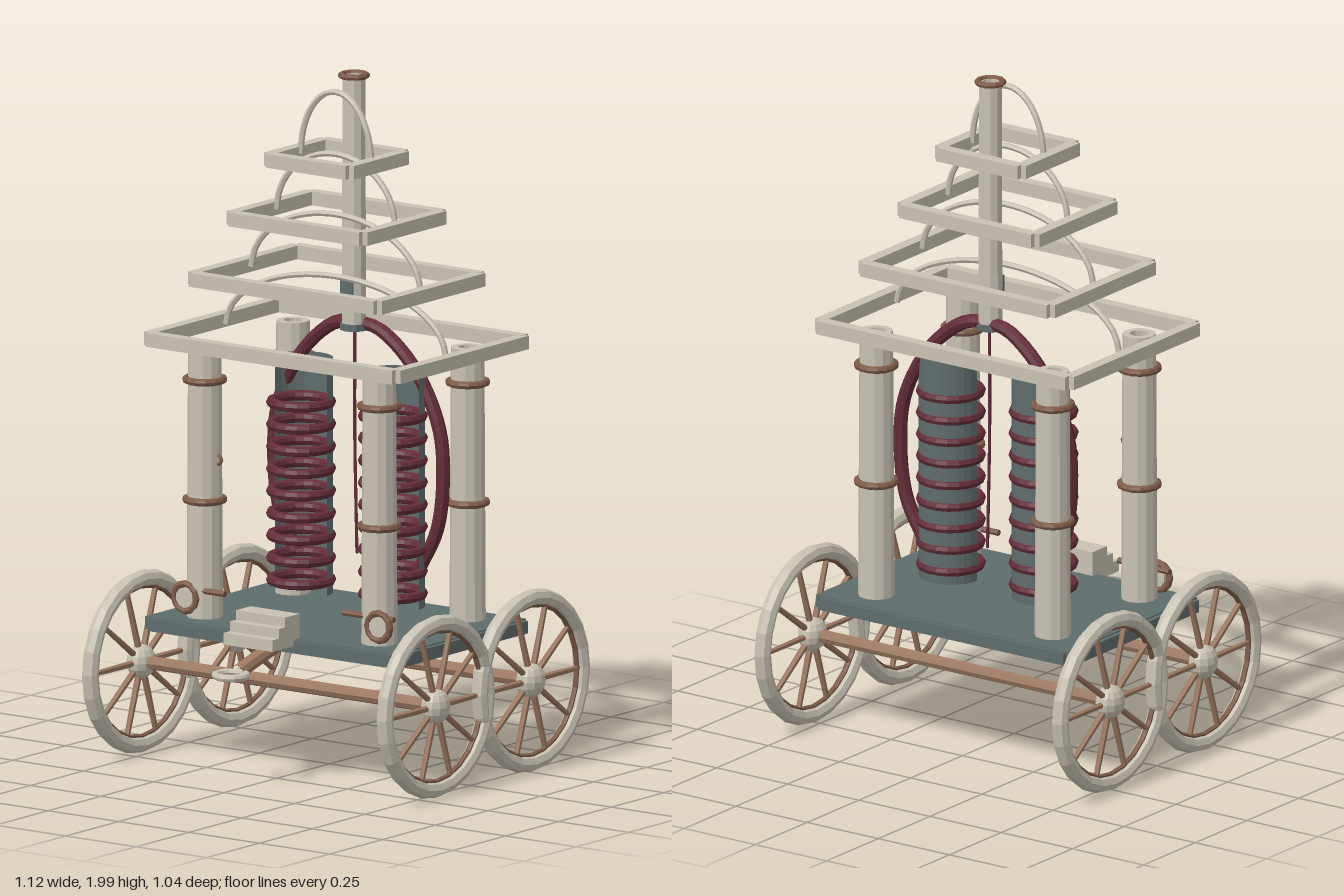
import * as THREE from 'three';

const mat = (name, color, extra = {}) => {
  const m = new THREE.MeshStandardMaterial({ color, flatShading: true, ...extra });
  m.name = name;
  return m;
};
const V = (x, y, z) => new THREE.Vector3(x, y, z);

export function createModel() {
  const root = new THREE.Group();
  root.name = 'coilWagon';
  const ivory = mat('ivory', 0xc8c2b3);
  const slate = mat('slate', 0x5f6c6c, { side: THREE.DoubleSide });
  const maroon = mat('maroon', 0x632c38);
  const copper = mat('copper', 0x9c7860);
  const bronze = mat('bronze', 0x7d5a48);
  const CZ = -0.033;

  const add = (name, geo, material, x = 0, y = 0, z = 0, parent = root) => {
    const m = new THREE.Mesh(geo, material);
    m.name = name;
    m.position.set(x, y, z);
    parent.add(m);
    return m;
  };
  const tube = (points, r, seg = 24, sides = 8) =>
    new THREE.TubeGeometry(new THREE.CatmullRomCurve3(points), seg, r, sides);
  const ring = (R, r, seg = 14) => new THREE.TorusGeometry(R, r, 8, seg);
  const flatRing = (R, r, seg) => ring(R, r, seg).rotateX(Math.PI / 2);
  // hollow pipe with open bore
  const pipe = (rBottom, rTop, bore, y0, y1, sides) => new THREE.LatheGeometry([
    [bore, y0], [rBottom, y0], [rTop, y1], [bore, y1], [bore, y0],
  ].map(p => new THREE.Vector2(...p)), sides);

  // platform with a bevelled rim
  add('platform', new THREE.BoxGeometry(0.88, 0.043, 0.62), slate, 0, 0.408, CZ);
  for (const s of [-1, 1]) {
    add('platformSideRim', new THREE.BoxGeometry(0.034, 0.036, 0.6), slate, s * 0.438, 0.408, CZ);
    add('platformEndRim', new THREE.BoxGeometry(0.86, 0.036, 0.034), slate, 0, 0.408, CZ + s * 0.303);
  }

  // axles and spoked wheels
  for (const z of [0.195, -0.255]) {
    add('axle', new THREE.CylinderGeometry(0.02, 0.02, 1.04, 8).rotateZ(Math.PI / 2), copper, 0, 0.275, z);
    for (const s of [-1, 1]) {
      const wheel = new THREE.Group();
      wheel.name = 'wheel';
      wheel.position.set(s * 0.523, 0.275, z);
      root.add(wheel);
      add('rim', new THREE.TorusGeometry(0.241, 0.024, 8, 24).rotateY(Math.PI / 2), ivory, 0, 0, 0, wheel);
      add('innerRim', new THREE.TorusGeometry(0.22, 0.009, 6, 24).rotateY(Math.PI / 2), bronze, 0, 0, 0, wheel);
      add('hub', new THREE.SphereGeometry(0.05, 12, 8).scale(0.78, 1, 1), ivory, 0, 0, 0, wheel);
      for (let i = 0; i < 10; i++) {
        const spoke = add('spoke', new THREE.CylinderGeometry(0.008, 0.01, 0.19, 6).translate(0, 0.13, 0),
          copper, 0, 0, 0, wheel);
        spoke.rotation.x = (i + 0.5) * Math.PI / 5;
      }
    }
  }

  // four hollow columns with collars
  for (const x of [-0.31, 0.31]) for (const z of [0.178, -0.24]) {
    add('column', pipe(0.052, 0.048, 0.027, 0.43, 1.22, 12), ivory, x, 0, z);
    for (const y of [0.77, 1.118]) add('columnCollar', flatRing(0.054, 0.011), bronze, x, y, z);
  }

  // fittings on the front columns
  for (const s of [-1, 1]) {
    add('eyeRing', ring(0.04, 0.01, 12), bronze, s * 0.343, 0.488, 0.225);
    add('eyeBoss', new THREE.CylinderGeometry(0.03, 0.03, 0.02, 10).rotateX(Math.PI / 2), ivory, s * 0.343, 0.488, 0.222);
    add('eyePin', new THREE.CylinderGeometry(0.009, 0.009, 0.18, 6).rotateZ(Math.PI / 2), bronze, s * 0.3, 0.512, 0.215);
    add('columnHook', ring(0.013, 0.005, 8), bronze, s * 0.262, 0.89, 0.18);
  }

  // stacked roof frames with notched corners, each carrying an arch
  const W = 0.035;
  const tiers = [
    [0.455, 0.322, 1.234, 0.39, 1.42], [0.345, 0.262, 1.412, 0.3, 1.6],
    [0.25, 0.205, 1.59, 0.21, 1.775], [0.16, 0.148, 1.762, 0.125, 1.955],
  ];
  for (const [hx, hz, y, ax, top] of tiers) {
    for (const s of [-1, 1]) {
      add('frameLongBar', new THREE.BoxGeometry(2 * hx - W, 0.04, W), ivory, 0, y, CZ + s * (hz - W / 2));
      add('frameShortBar', new THREE.BoxGeometry(W, 0.039, 2 * hz - W), ivory, s * (hx - W / 2), y, CZ);
    }
    const arc = [];
    for (let i = 0; i <= 12; i++) {
      const a = Math.PI * i / 12;
      arc.push(V(ax * Math.cos(a), y + (top - y) * Math.sin(a), CZ + 0.003));
    }
    add('roofArch', tube(arc, 0.009, 28, 6), ivory);
  }

  // chimney
  const CH = -0.115;
  add('chimney', pipe(0.036, 0.034, 0.024, 1.27, 1.99, 10), ivory, 0, 0, CH);
  add('chimneyRim', flatRing(0.037, 0.009, 10), bronze, 0, 1.99, CH);
  add('chimneyBase', new THREE.CylinderGeometry(0.04, 0.04, 0.02, 8), slate, 0, 1.262, CH);
  add('chimneyVent', new THREE.BoxGeometry(0.045, 0.085, 0.006), slate, 0, 1.365, CH + 0.034);

  // half-shell cores wound with rings, fed by curved pipes
  const CO = -0.082;
  for (const s of [-1, 1]) {
    add('coilCore', new THREE.CylinderGeometry(0.092, 0.092, 0.68, 12, 1, true, Math.PI / 2, Math.PI),
      slate, s * 0.163, 0.815, CO);
    for (let i = 0; i < 9; i++)
      add('coilRing', flatRing(0.085, 0.015, 18), maroon, s * 0.163, 0.512 + i * 0.0645, CO);
    add('feedPipe', tube([
      V(0, 1.275, -0.125), V(s * 0.08, 1.26, -0.13), V(s * 0.2, 1.16, -0.135), V(s * 0.285, 1, -0.137),
      V(s * 0.3, 0.85, -0.137), V(s * 0.28, 0.7, -0.135), V(s * 0.22, 0.58, -0.13),
    ], 0.02, 30), maroon);
  }
  add('hangingWire', tube([V(0, 1.27, -0.12), V(-0.004, 0.95, -0.125), V(0, 0.6, -0.13)], 0.005, 10, 5), maroon);

  // front steps
  for (let i = 0; i < 3; i++) {
    const top = 0.5 - i * 0.028, depth = 0.07 + i * 0.029;
    add('step', new THREE.BoxGeometry(0.174, top - 0.41, depth), ivory, 0, (top + 0.41) / 2, 0.258 + depth / 2);
  }

  // drawbar and towing ring
  add('drawbar', tube([V(0, 0.4, 0.24), V(0, 0.375, 0.34), V(0, 0.348, 0.435)], 0.022, 6), copper);
  add('towRing', flatRing(0.045, 0.011, 16), ivory, 0, 0.345, 0.467);

  return root;
}
